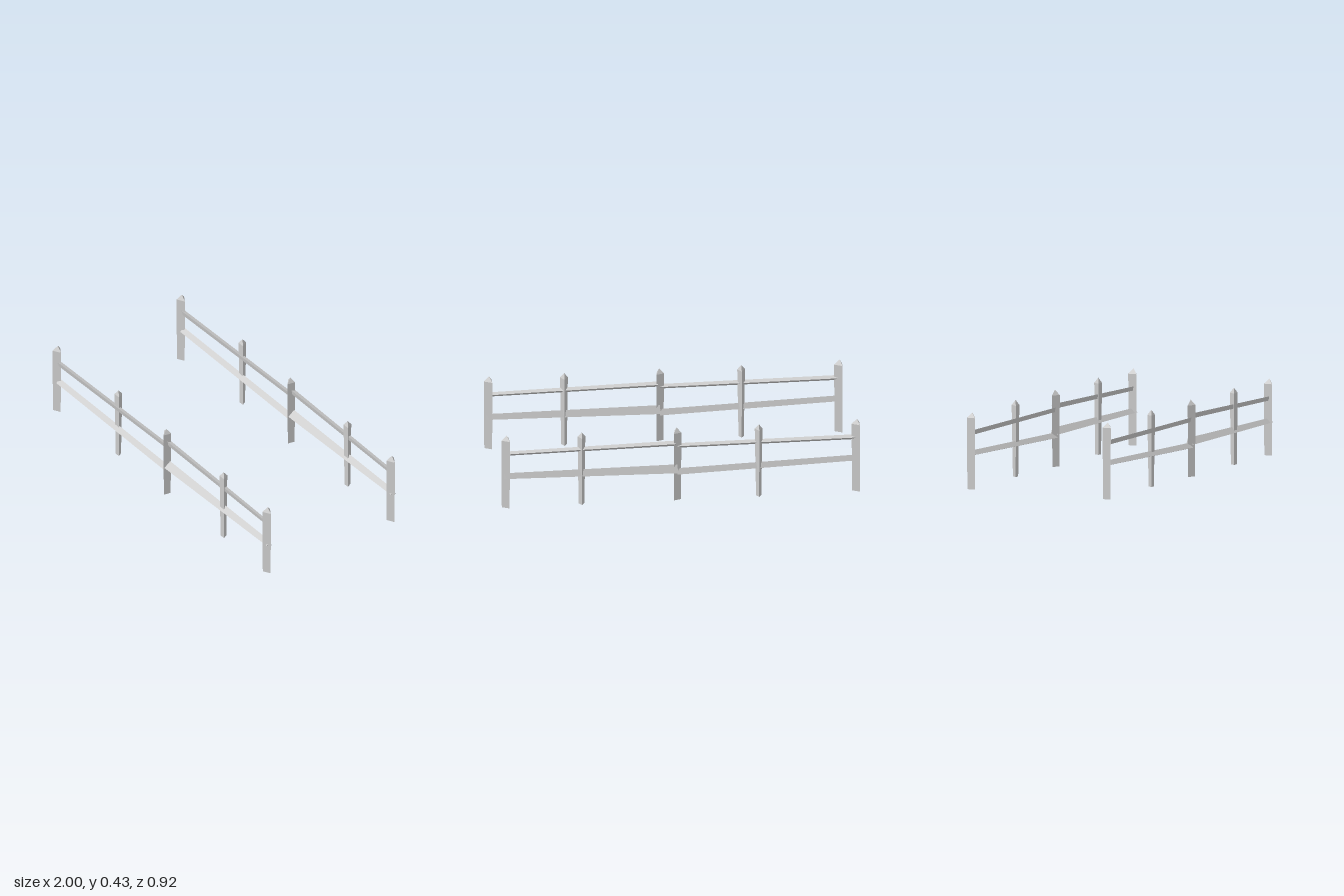
import * as THREE from 'three';

const material = new THREE.MeshStandardMaterial({ color: 0xcccccc, flatShading: true });
const rad = THREE.MathUtils.degToRad;

// Split-log post: tapered three-sided shaft with a pointed cap
function makePost(name, x, z, radius, bottomScale, turn) {
  const post = new THREE.Group();
  post.name = name;
  const shaft = new THREE.Mesh(new THREE.CylinderGeometry(radius, radius * bottomScale, 0.4, 3), material);
  shaft.name = 'postShaft';
  shaft.position.y = 0.2;
  const cap = new THREE.Mesh(new THREE.ConeGeometry(radius, 0.03, 3), material);
  cap.name = 'postPoint';
  cap.position.y = 0.415;
  post.add(shaft, cap);
  post.position.set(x, 0, z);
  post.rotation.y = rad(turn);
  return post;
}

// Split-log rail: three-sided tapered prism from a to b; roll turns one edge up from the front
function makeRail(name, a, b, ra, rb, roll) {
  const start = new THREE.Vector3(...a);
  const end = new THREE.Vector3(...b);
  const along = end.clone().sub(start);
  const geometry = new THREE.CylinderGeometry(rb, ra, along.length(), 3);
  geometry.rotateY(-rad(roll));
  geometry.rotateZ(-Math.PI / 2);
  const rail = new THREE.Mesh(geometry, material);
  rail.name = name;
  rail.position.copy(start).add(end).multiplyScalar(0.5);
  rail.quaternion.setFromUnitVectors(new THREE.Vector3(1, 0, 0), along.normalize());
  return rail;
}

// One fence run, with z measured from its own centre line
function makeFence(name) {
  const fence = new THREE.Group();
  fence.name = name;
  fence.add(
    makePost('rightEndPost', -0.985, 0.009, 0.03, 0.9, 90),
    makePost('rightSlimPost', -0.436, -0.008, 0.025, 0.68, 180),
    makePost('middlePost', 0.022, -0.002, 0.027, 0.9, 20),
    makePost('leftSlimPost', 0.552, -0.01, 0.025, 0.75, 180),
    makePost('leftEndPost', 0.97, -0.008, 0.03, 0.92, 90),

    makeRail('rightUpperRail', [-0.975, 0.32, 0.01], [0.018, 0.32, -0.002], 0.016, 0.015, 170),
    makeRail('leftUpperRail', [0.03, 0.338, -0.012], [0.97, 0.32, -0.01], 0.017, 0.014, 170),
    makeRail('rightLowerRail', [-0.975, 0.198, 0.009], [0.02, 0.168, -0.004], 0.019, 0.021, -15),
    makeRail('leftLowerRail', [0.018, 0.187, -0.01], [0.985, 0.188, -0.01], 0.029, 0.019, -15),
  );
  return fence;
}

export function createModel() {
  const model = new THREE.Group();
  model.name = 'fencePair';
  for (const [name, z] of [['frontFence', 0.425], ['backFence', -0.424]]) {
    const fence = makeFence(name);
    fence.position.z = z;
    model.add(fence);
  }
  return model;
}
